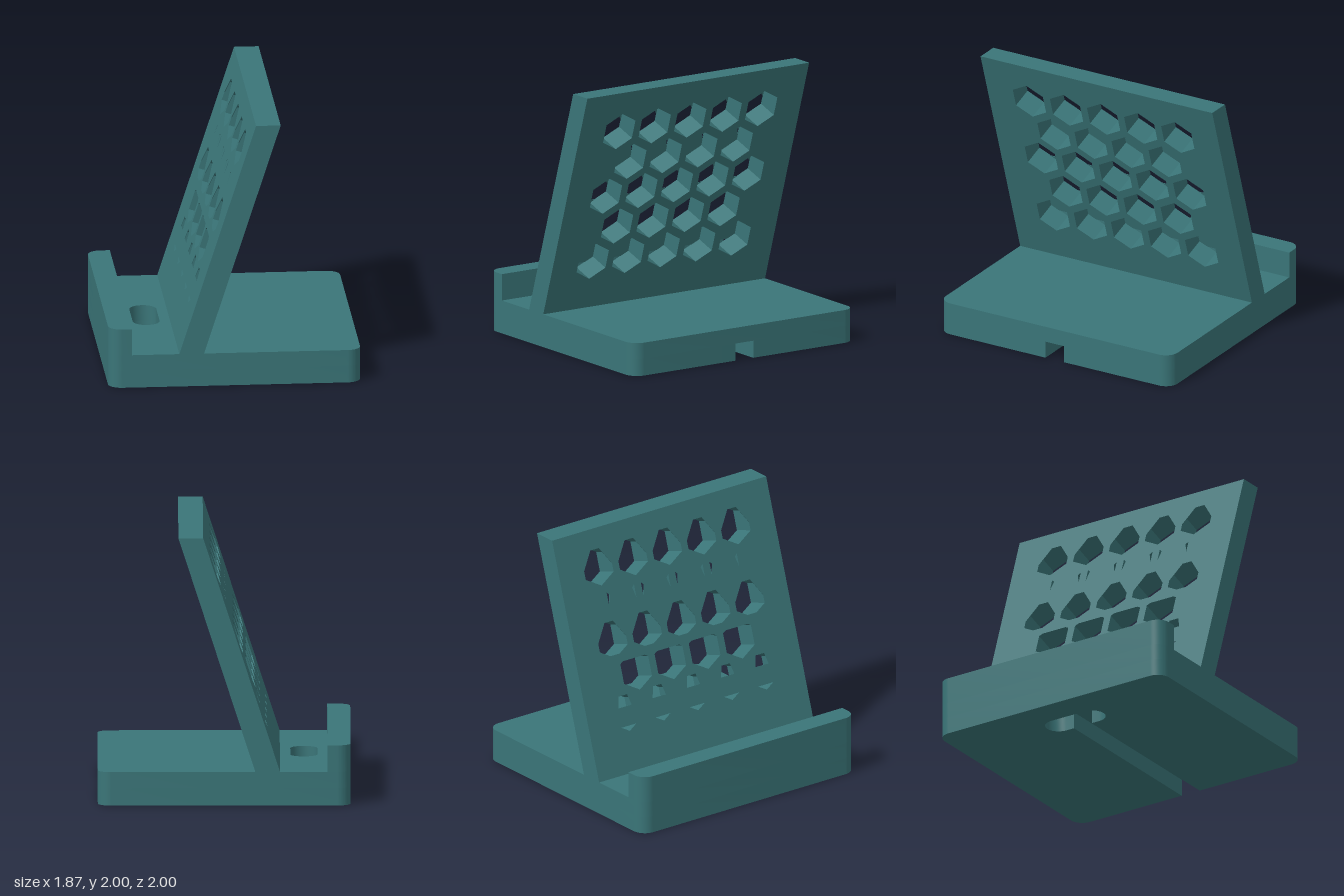
import * as THREE from 'three';
import { toCreasedNormals } from 'three/addons/utils/BufferGeometryUtils.js';

const teal = new THREE.MeshStandardMaterial({ color: 0x3a7578 });
teal.name = 'teal';

const X = 0.935, Z = 1, R = 0.1;      // base half sizes and corner radius
const SLOPE = 0.325, THICK = 0.183;   // backrest lean and horizontal thickness
const RISE = 0.054;                   // hex tunnels run square to the backrest
const SKIN = 0.004;

function addMesh(group, name, geometry) {
  const mesh = new THREE.Mesh(toCreasedNormals(geometry, 0.5), teal);
  mesh.name = name;
  group.add(mesh);
}

// Plan shape (x, z) raised from y0 to y1
function raise(shape, y0, y1) {
  const g = new THREE.ExtrudeGeometry(shape, { depth: y1 - y0, bevelEnabled: false, curveSegments: 10 });
  return g.rotateX(-Math.PI / 2).translate(0, y0, 0);
}

// Starts a base outline with its two left corners rounded, ending at the lower left
function leftCorners(s, right) {
  s.moveTo(right, Z);
  s.lineTo(-X + R, Z);
  s.absarc(-X + R, Z - R, R, Math.PI / 2, Math.PI, false);
  s.absarc(-X + R, -Z + R, R, Math.PI, Math.PI * 1.5, false);
}

function baseOutline(withChannel) {
  const s = new THREE.Shape();
  leftCorners(s, X - R);
  s.absarc(X - R, -Z + R, R, -Math.PI / 2, 0, false);
  if (withChannel) {
    // cable channel leading into the rounded slot
    s.lineTo(X, -0.08);
    s.lineTo(-0.49, -0.08);
    s.lineTo(-0.49, -0.15);
    s.absarc(-0.59, -0.15, 0.1, 0, -Math.PI, true);
    s.absarc(-0.59, 0.15, 0.1, Math.PI, 0, true);
    s.lineTo(-0.49, 0.08);
    s.lineTo(X, 0.08);
  }
  s.absarc(X - R, Z - R, R, 0, Math.PI / 2, false);
  return s;
}

function slotHole() {
  const p = new THREE.Path();
  p.absarc(-0.59, 0.15, 0.1, 0, Math.PI, false);
  p.absarc(-0.59, -0.15, 0.1, Math.PI, Math.PI * 2, false);
  p.closePath();
  return p;
}

const mirror = half => [...half, ...half.filter(p => p[0] > 0).reverse().map(([a, b]) => [-a, b])];
const hexagon = mirror([[0, -0.142], [0.13, -0.071], [0.13, 0.071], [0, 0.142]]);
const sliver = [[0.128, -0.03], [0.128, 0.065], [0.106, 0.045]];

// Rows of holes: height, columns, and the openings left in the sloping rear skin
const rows = [
  { y: 1.68, n: 5, open: [mirror([[0, -0.142], [0.13, -0.071], [0.13, -0.01], [0.04, 0.12]])] },
  { y: 1.415, n: 4, open: [sliver, sliver.map(([a, b]) => [-a, b])] },
  { y: 1.155, n: 5, open: [mirror([[0.042, -0.119], [0.13, -0.071], [0.13, -0.01], [0.04, 0.12]])] },
  { y: 0.89, n: 4, open: [mirror([[0, -0.142], [0.13, -0.071], [0.13, 0.071], [0.102, 0.086]])] },
  { y: 0.628, n: 5, open: [mirror([[0, -0.142], [0.07, -0.104]]), mirror([[0.063, 0.034], [0.04, 0.115]])] },
];

// Leaning slab between depths d0 and d1, measured from its rear (-x) face
function slab(d0, d1, holesOf) {
  const s = new THREE.Shape([[-Z, 0.25], [Z, 0.25], [Z, 2], [-Z, 2]].map(p => new THREE.Vector2(...p)));
  for (const row of rows) {
    for (let i = 0; i < row.n; i++) {
      const z = (i - (row.n - 1) / 2) * 0.32;
      for (const pts of holesOf(row)) {
        s.holes.push(new THREE.Path(pts.map(([a, b]) => new THREE.Vector2(a + z, b + row.y))));
      }
    }
  }
  const g = new THREE.ExtrudeGeometry(s, { depth: d1 - d0, bevelEnabled: false });
  g.rotateY(Math.PI / 2).translate(d0, 0, 0);
  const p = g.attributes.position;
  for (let i = 0; i < p.count; i++) {
    let y = p.getY(i);
    const d = p.getX(i);
    // hole corners climb toward the rear, the outline stays level
    if (y > 0.26 && y < 1.99) y += RISE * (1 - d / THICK);
    p.setXYZ(i, -0.413 + d + SLOPE * (y - 0.25), y, p.getZ(i));
  }
  g.computeVertexNormals();
  return g;
}

export function createModel() {
  const model = new THREE.Group();
  model.name = 'deviceStand';

  // Base in two layers: the lower one carries the cable channel
  addMesh(model, 'baseLower', raise(baseOutline(true), 0, 0.13));
  const upper = baseOutline(false);
  upper.holes.push(slotHole());
  addMesh(model, 'baseUpper', raise(upper, 0.13, 0.25));

  // Retaining lip
  const lip = new THREE.Shape();
  leftCorners(lip, -0.765);
  lip.lineTo(-0.765, -Z);
  addMesh(model, 'lip', raise(lip, 0.25, 0.45));

  // Backrest with honeycomb, and the partly closed rear skin
  addMesh(model, 'backrest', slab(SKIN, THICK, () => [hexagon]));
  addMesh(model, 'backrestSkin', slab(0, SKIN, row => row.open));
  return model;
}
